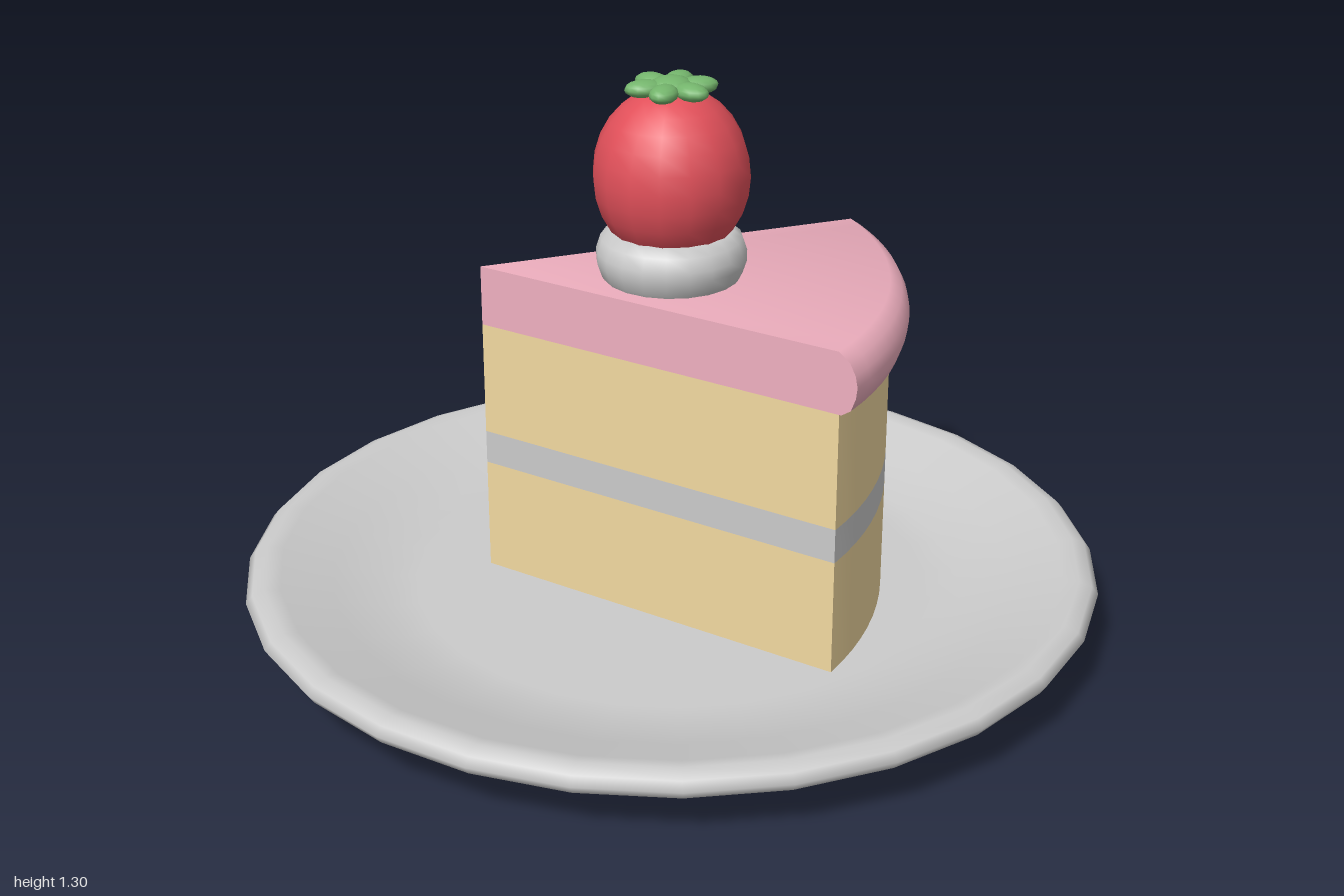
import * as THREE from 'three';
import { mergeGeometries, toCreasedNormals } from 'three/addons/utils/BufferGeometryUtils.js';

const deg = THREE.MathUtils.degToRad;
const vectors = (pairs) => pairs.map(([r, y]) => new THREE.Vector2(r, y));

function addMesh(parent, name, geometry, color) {
  const mesh = new THREE.Mesh(geometry, new THREE.MeshStandardMaterial({ color }));
  mesh.name = name;
  parent.add(mesh);
  return mesh;
}

// Revolves a profile (bottom to top, starting and ending on the axis) through
// part of a circle and closes the two cut faces.
function wedge(profile, start, length) {
  const points = vectors(profile);
  const curved = toCreasedNormals(new THREE.LatheGeometry(points, 16, start, length), deg(50));
  const startCap = new THREE.ShapeGeometry(new THREE.Shape(points))
    .rotateY(start - Math.PI / 2).toNonIndexed();
  const mirrored = points.map((p) => new THREE.Vector2(-p.x, p.y));
  const endCap = new THREE.ShapeGeometry(new THREE.Shape(mirrored))
    .rotateY(start + length + Math.PI / 2).toNonIndexed();
  return mergeGeometries([curved, startCap, endCap]);
}

export function createModel() {
  const model = new THREE.Group();
  model.name = 'cakeSliceOnPlate';
  const GREY = 0xcccccc, SPONGE = 0xf2d9a0, PINK = 0xf0b0c0, RED = 0xe2505a, GREEN = 0x74b56c;

  // Shallow plate with a rounded rim
  const plateProfile = vectors([
    [0, 0], [0.7, 0], [0.945, 0.085], [0.985, 0.11], [1, 0.132], [0.985, 0.15],
    [0.955, 0.162], [0.92, 0.155], [0.8, 0.115], [0.68, 0.082], [0.6, 0.08], [0, 0.08],
  ]);
  addMesh(model, 'plate', new THREE.LatheGeometry(plateProfile, 28), GREY);

  // Cake slice, with its tip at the group's origin
  const slice = new THREE.Group();
  slice.name = 'cakeSlice';
  slice.position.set(-0.41, 0, -0.155);
  model.add(slice);
  const start = deg(43), length = deg(53.7), radius = 0.935;
  const layers = [
    ['lowerSponge', 0.075, 0.35, SPONGE],
    ['creamFilling', 0.35, 0.43, GREY],
    ['upperSponge', 0.43, 0.7, SPONGE],
  ];
  for (const [name, y0, y1, color] of layers) {
    addMesh(slice, name, wedge([[0, y0], [radius, y0], [radius, y1], [0, y1]], start, length), color);
  }

  // Frosting that bulges over the curved side
  const frosting = [
    [0, 0.7], [0.94, 0.7], [0.962, 0.715], [0.973, 0.745], [0.976, 0.77],
    [0.971, 0.795], [0.957, 0.822], [0.93, 0.842], [0, 0.842],
  ];
  addMesh(slice, 'frosting', wedge(frosting, start, length), PINK);

  // Cream dollop under the strawberry
  const dollop = vectors([
    [0, 0.82], [0.14, 0.82], [0.16, 0.85], [0.17, 0.88], [0.17, 0.905],
    [0.16, 0.935], [0.135, 0.955], [0, 0.96],
  ]);
  addMesh(model, 'creamDollop', new THREE.LatheGeometry(dollop, 20), GREY);

  // Strawberry
  const berry = addMesh(model, 'strawberry', new THREE.SphereGeometry(0.177, 16, 14), RED);
  berry.scale.y = 0.2 / 0.177;
  berry.position.y = 1.08;

  // Crown of six rounded leaves around a centre
  const crown = new THREE.Group();
  crown.name = 'leafCrown';
  crown.position.y = 1.278;
  model.add(crown);
  for (let i = 0; i < 6; i++) {
    const angle = (i * Math.PI) / 3;
    const leaf = addMesh(crown, 'leaf', new THREE.SphereGeometry(1, 12, 8), GREEN);
    leaf.scale.set(0.046, 0.02, 0.032);
    leaf.position.set(0.06 * Math.cos(angle), 0, -0.06 * Math.sin(angle));
    leaf.rotation.y = angle;
  }
  const centre = addMesh(crown, 'leafCentre', new THREE.SphereGeometry(1, 12, 8), GREEN);
  centre.scale.set(0.05, 0.025, 0.05);

  return model;
}
